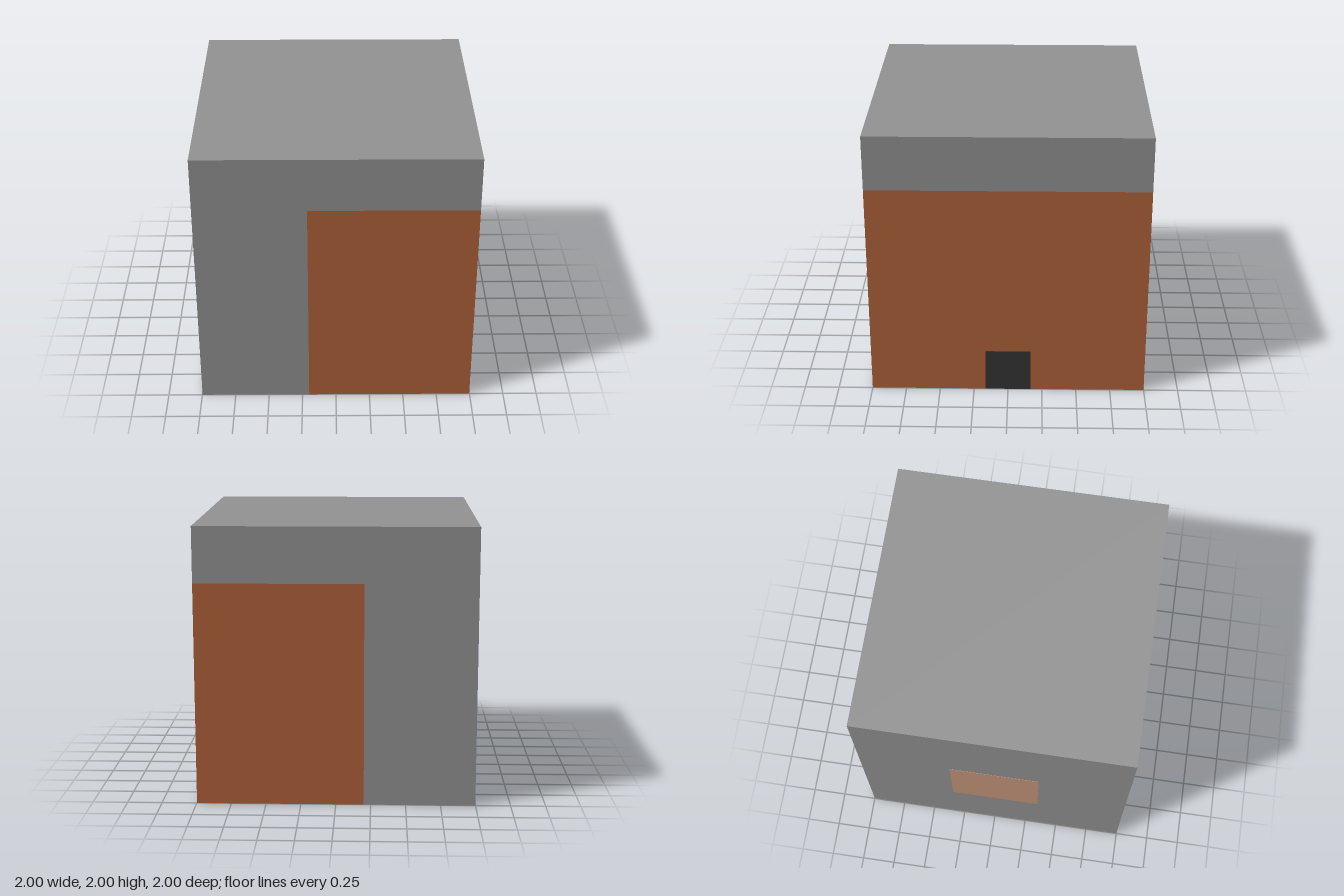
import * as THREE from 'three';

const material = (name, color) => {
  const m = new THREE.MeshStandardMaterial({ color });
  m.name = name;
  return m;
};

export function createModel() {
  const group = new THREE.Group();
  const grey = material('concrete grey', 0x949494);
  const orange = material('brick orange', 0xb2633b);
  const dark = material('door charcoal', 0x353535);
  const tan = material('panel tan', 0xc8987c);

  const add = (name, geometry, mat, x, y, z) => {
    const mesh = new THREE.Mesh(geometry, mat);
    mesh.name = name;
    mesh.position.set(x, y, z);
    group.add(mesh);
  };

  const side = 0.998; // leaves room for the thin side plates
  const split = -0.2; // where the grey shell meets the orange block
  const blockTop = 1.6;

  // Grey shell: an L-shaped wall and roof running the full depth
  const profile = new THREE.Shape([
    [-side, 0], [split, 0], [split, blockTop], [side, blockTop], [side, 2], [-side, 2],
  ].map(([x, y]) => new THREE.Vector2(x, y)));
  const shell = new THREE.ExtrudeGeometry(profile, { depth: 2, bevelEnabled: false });
  add('outerShell', shell, grey, 0, 0, -1);

  // Orange block set flush into the shell
  const width = side - split;
  add('innerBlock', new THREE.BoxGeometry(width, blockTop, 2), orange, split + width / 2, blockTop / 2, 0);

  // Small door on the right face and square panel on the opposite face
  add('door', new THREE.BoxGeometry(0.004, 0.32, 0.33), dark, 0.998, 0.16, 0);
  add('sidePanel', new THREE.BoxGeometry(0.004, 0.66, 0.66), tan, -0.998, 0.93, 0.01);

  return group;
}
